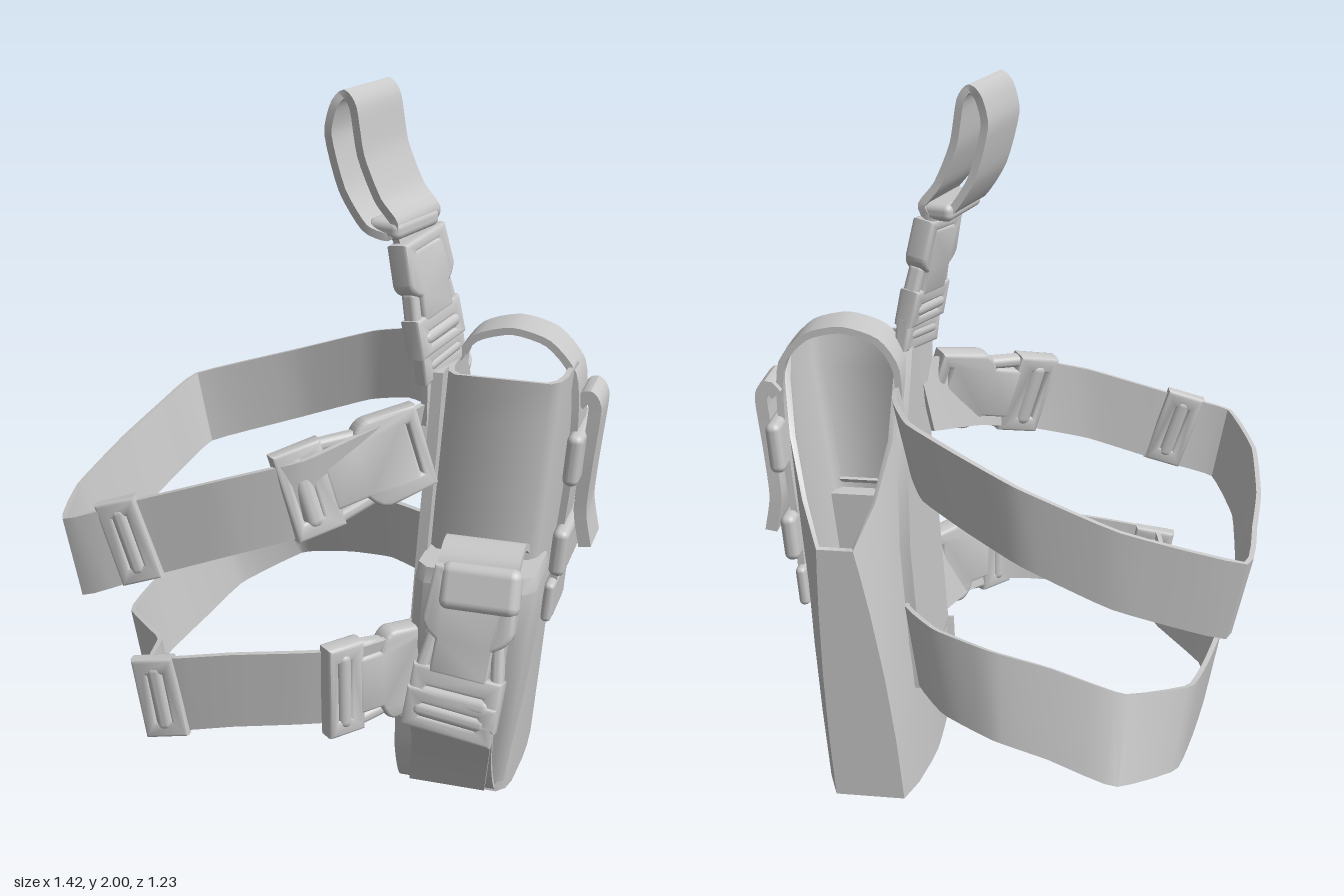
import * as THREE from 'three';
import { toCreasedNormals } from 'three/addons/utils/BufferGeometryUtils.js';
import { RoundedBoxGeometry } from 'three/addons/geometries/RoundedBoxGeometry.js';

const V = (x, y, z) => new THREE.Vector3(x, y, z);
const lerp = THREE.MathUtils.lerp;

export function createModel() {
  const model = new THREE.Group();
  const grey = new THREE.MeshStandardMaterial({ color: 0xc8c8c8, side: THREE.DoubleSide });
  grey.name = 'grey webbing';

  function add(name, geometry, parent = model) {
    const mesh = new THREE.Mesh(geometry, grey);
    mesh.name = name;
    parent.add(mesh);
    return mesh;
  }

  // Skin a list of closed rings, with both ends capped
  function loft(rings, crease = 0.6) {
    const n = rings[0].length, pos = [], idx = [];
    rings.forEach(r => r.forEach(p => pos.push(p.x, p.y, p.z)));
    for (let i = 0; i < rings.length - 1; i++) {
      for (let j = 0; j < n; j++) {
        const a = i * n + j, b = i * n + (j + 1) % n;
        idx.push(a, b, b + n, a, b + n, a + n);
      }
    }
    const last = (rings.length - 1) * n;
    for (let j = 1; j < n - 1; j++) {
      idx.push(0, j + 1, j, last, last + j, last + j + 1);
    }
    const g = new THREE.BufferGeometry();
    g.setAttribute('position', new THREE.Float32BufferAttribute(pos, 3));
    g.setIndex(idx);
    return toCreasedNormals(g, crease);
  }

  // Flat webbing along a curve; half(p) gives the half-width vector
  function webbing(name, pts, half, { thick = 0.014, steps = 36, closed = false, tension = 0.35 } = {}) {
    const curve = new THREE.CatmullRomCurve3(pts.map(p => V(...p)), closed, 'catmullrom', tension);
    const rings = [];
    for (let i = 0; i <= steps; i++) {
      const p = curve.getPoint(i / steps), w = half(p);
      const nrm = curve.getTangent(i / steps).cross(w).normalize().multiplyScalar(thick / 2);
      rings.push([[1, 1], [-1, 1], [-1, -1], [1, -1]].map(([s, t]) =>
        p.clone().addScaledVector(w, s).addScaledVector(nrm, t)));
    }
    return add(name, loft(rings));
  }

  // Group whose x axis runs from a to b, with y toward up
  function fitting(name, a, b, up) {
    const g = new THREE.Group(), x = V(...b).sub(V(...a)), len = x.length();
    x.normalize();
    const z = x.clone().cross(V(...up)).normalize(), y = z.clone().cross(x);
    g.quaternion.setFromRotationMatrix(new THREE.Matrix4().makeBasis(x, y, z));
    g.position.lerpVectors(V(...a), V(...b), 0.5);
    g.name = name;
    model.add(g);
    return [g, len];
  }

  function rect(x, y, w, h, Type = THREE.Shape) {
    return new Type([[-1, -1], [1, -1], [1, 1], [-1, 1]].map(([s, t]) =>
      new THREE.Vector2(x + s * w / 2, y + t * h / 2)));
  }
  function plate(shape, depth) {
    const g = new THREE.ExtrudeGeometry(shape, {
      depth, bevelEnabled: true, bevelSize: 0.01, bevelThickness: 0.012, bevelSegments: 2 });
    g.translate(0, 0, -depth / 2);
    return toCreasedNormals(g, 0.9);
  }

  // Rectangular slider: frame round a raised centre bar
  function slider(name, a, b, up, h) {
    const [g, len] = fitting(name, a, b, up);
    const s = rect(0, 0, len - 0.02, h);
    s.holes.push(rect(0, 0, len - 0.06, h - 0.06, THREE.Path));
    add('sliderFrame', plate(s, 0.02), g);
    add('sliderBar', new RoundedBoxGeometry(len * 0.4, h - 0.02, 0.05, 3, 0.02), g);
  }

  // Side-release buckle: slotted frame, curved prongs, waisted socket
  function buckle(name, a, b, up, h) {
    const [g, len] = fitting(name, a, b, up);
    const frame = rect(-len * 0.34, 0, len * 0.3, h);
    frame.holes.push(rect(-len * 0.37, 0, len * 0.18, h - 0.06, THREE.Path));
    add('buckleFrame', plate(frame, 0.035), g);
    add('buckleBar', new RoundedBoxGeometry(len * 0.14, h - 0.02, 0.07, 3, 0.025), g)
      .position.x = -len * 0.36;
    for (const s of [-1, 1]) {
      const prong = add('prong', new RoundedBoxGeometry(len * 0.3, 0.035, 0.045, 2, 0.015), g);
      prong.position.set(-len * 0.06, s * h * 0.42, 0);
      prong.rotation.z = -s * 0.15;
    }
    const socket = new THREE.Shape(), k = h / 2;
    socket.moveTo(-len * 0.18, -k * 0.6);
    socket.lineTo(len * 0.04, -k * 0.6);
    socket.quadraticCurveTo(len * 0.1, -k, len * 0.18, -k);
    socket.lineTo(len * 0.5, -k * 0.92);
    socket.lineTo(len * 0.5, k * 0.92);
    socket.lineTo(len * 0.18, k);
    socket.quadraticCurveTo(len * 0.1, k, len * 0.04, k * 0.6);
    socket.lineTo(-len * 0.18, k * 0.6);
    socket.holes.push(rect(len * 0.43, 0, len * 0.06, h - 0.07, THREE.Path));
    add('buckleSocket', plate(socket, 0.04), g);
  }

  // Holster shell: slanted sleeve, mouth cut down toward a narrow back
  const plan = [[-0.98, 0.13], [-0.92, 0.175], [-0.78, 0.2], [0.78, 0.2], [0.92, 0.175], [0.98, 0.13], [1, 0],
    [0.99, -0.07], [0.95, -0.15], [0.78, -0.28], [0.5, -0.4],
    [-0.75, -0.4], [-0.88, -0.28], [-0.96, -0.15], [-1, -0.07], [-1, 0]];
  const mouthStops = [[0, 1.25], [-0.07, 1.18], [-0.15, 1.04], [-0.28, 0.91], [-0.4, 0.82]];
  const mouth = z => mouthStops.find(([stop]) => z >= stop - 1e-6)[1];
  const shellRing = (t, inset) => plan.map(([u, z]) => {
    const back = Math.max(0, -z / 0.4);
    const y = lerp(0.04 * back * back, mouth(z), t), f = y / 1.25;
    const narrow = 1 - 0.5 * t * t * back * back;
    return V(lerp(0.365, 0.47, f) + u * narrow * (lerp(0.158, 0.165, f) - inset), y, z * (1 - inset * 3));
  });
  add('holsterShell', loft([
    ...[0, 0.25, 0.5, 0.75, 0.9, 1].map(t => shellRing(t, 0)),
    ...[1, 0.9].map(t => shellRing(t, 0.016)), shellRing(0.6, 0.03), shellRing(0.08, 0.04)], 0.9));

  // Backing panel against the leg
  const panelRing = (y, x, z0, z1) => [V(x - 0.015, y, z1), V(x + 0.015, y, z1),
    V(x + 0.015, y, z0), V(x - 0.015, y, z0)];
  add('backingPanel', loft([panelRing(0.3, 0.235, -0.22, 0.22), panelRing(0.75, 0.265, -0.22, 0.22),
    panelRing(1.05, 0.285, -0.12, 0.21), panelRing(1.25, 0.295, 0.04, 0.2)]));

  // Leg straps: sides lean outward at the top, the lower one inward at the back
  const legHalf = (h, kx, front, back) => p => V((p.x + 0.2) * kx, h, p.z * (p.z > 0 ? front : back));
  webbing('upperLegStrap', [[0.29, 1.06, 0.05], [0.275, 1.06, -0.15], [0.21, 1.055, -0.31], [0.06, 1.035, -0.45],
    [-0.1, 0.985, -0.53], [-0.35, 0.89, -0.555], [-0.655, 0.795, -0.5], [-0.675, 0.78, -0.25], [-0.685, 0.765, 0],
    [-0.67, 0.755, 0.34], [-0.595, 0.77, 0.595], [-0.42, 0.83, 0.56], [-0.18, 0.91, 0.525], [0, 0.96, 0.465],
    [0.15, 1.02, 0.32], [0.27, 1.06, 0.16]], legHalf(0.112, 0.05, 0.01, 0.005), { steps: 60, tension: 0.2 });
  webbing('lowerLegStrap', [[0.25, 0.46, -0.05], [0.24, 0.46, -0.25], [0.14, 0.46, -0.39], [-0.02, 0.455, -0.49],
    [-0.18, 0.435, -0.53], [-0.37, 0.39, -0.565], [-0.53, 0.34, -0.4], [-0.57, 0.32, -0.2], [-0.6, 0.31, 0.02],
    [-0.59, 0.31, 0.21], [-0.43, 0.34, 0.4], [-0.39, 0.36, 0.55], [-0.18, 0.4, 0.535], [0, 0.42, 0.505],
    [0.12, 0.43, 0.47], [0.2, 0.43, 0.37], [0.26, 0.43, 0.22]], legHalf(0.115, 0.05, 0.015, -0.08),
  { steps: 60, tension: 0.2 });
  buckle('upperLegBuckle', [-0.04, 0.96, 0.475], [0.26, 1.06, 0.235], [-0.25, 1, 0], 0.23);
  buckle('lowerLegBuckle', [0.085, 0.425, 0.51], [0.28, 0.43, 0.28], [0, 1, 0], 0.25);
  slider('upperLegSlider', [-0.5, 0.81, 0.575], [-0.39, 0.845, 0.56], [-0.18, 1, 0], 0.22);
  slider('lowerLegSlider', [-0.44, 0.35, 0.56], [-0.32, 0.37, 0.55], [-0.1, 1, 0], 0.22);

  // Hanger: stem, buckle and belt loop, all turned slightly about the vertical
  const turned = [-0.3, 0, 1];
  const across = h => () => V(...turned).multiplyScalar(h);
  webbing('hangerStem', [[0.285, 1.1, 0.13], [0.285, 1.25, 0.13], [0.265, 1.36, 0.14], [0.24, 1.5, 0.14],
    [0.2, 1.64, 0.15]], across(0.08), { steps: 12, thick: 0.02 });
  slider('hangerSlider', [0.285, 1.23, 0.12], [0.275, 1.32, 0.13], turned, 0.19);
  buckle('hangerBuckle', [0.275, 1.31, 0.135], [0.22, 1.6, 0.15], turned, 0.2);
  webbing('beltLoop', [[0.06, 1.955, 0.165], [0.085, 1.985, 0.16], [0.11, 1.95, 0.16], [0.13, 1.83, 0.16],
    [0.175, 1.72, 0.16], [0.22, 1.66, 0.16], [0.2, 1.625, 0.16], [0.14, 1.645, 0.16], [0.08, 1.74, 0.16],
    [0.045, 1.88, 0.165]], across(0.1), { closed: true, steps: 40, thick: 0.022 });
  const loopKeeper = add('loopKeeper', new RoundedBoxGeometry(0.1, 0.05, 0.21, 3, 0.02));
  loopKeeper.position.set(0.185, 1.64, 0.155);
  loopKeeper.rotation.y = -0.29;

  // Retention strap over the mouth and down the outer side
  const alongZ = h => () => V(0, 0, h);
  webbing('retentionStrap', [[0.3, 1.02, -0.01], [0.305, 1.22, -0.01], [0.36, 1.305, -0.01], [0.46, 1.335, -0.01],
    [0.56, 1.31, -0.01], [0.63, 1.23, -0.01], [0.64, 1.1, -0.01], [0.625, 0.9, -0.02], [0.605, 0.72, -0.03],
    [0.59, 0.5, -0.035]], alongZ(0.065), { thick: 0.02 });
  webbing('retentionTab', [[0.645, 1.14, -0.03], [0.67, 1.165, -0.03], [0.69, 1.13, -0.03], [0.675, 0.98, -0.03],
    [0.662, 0.83, -0.035], [0.68, 0.72, -0.035]], alongZ(0.065), { thick: 0.035, steps: 24 });
  for (const [y, x, w, h, d] of [[0.995, 0.645, 0.25, 0.15, 0.045], [0.715, 0.617, 0.24, 0.14, 0.045],
    [0.555, 0.59, 0.21, 0.12, 0.03]]) {
    const keeper = add('strapKeeper', new RoundedBoxGeometry(d, h, w, 3, d * 0.45));
    keeper.position.set(x, y, -0.025);
    keeper.rotation.z = -0.08;
  }

  // Front pouch, tapering to the holster foot
  const pouchRing = (y, cx, hw, z) => [V(cx - hw, y, 0.13), V(cx - hw, y, z - 0.03), V(cx - hw + 0.03, y, z),
    V(cx + hw - 0.03, y, z), V(cx + hw, y, z - 0.03), V(cx + hw, y, 0.13)];
  add('frontPouch', loft([pouchRing(0.02, 0.355, 0.15, 0.21), pouchRing(0.25, 0.385, 0.155, 0.28),
    pouchRing(0.5, 0.415, 0.16, 0.325), pouchRing(0.7, 0.435, 0.165, 0.335), pouchRing(0.74, 0.435, 0.16, 0.32)], 0.8));

  // Pouch closing strap with buckle, slider and flap
  const alongX = h => () => V(h, 0, 0);
  webbing('pouchStrap', [[0.45, 0.76, 0.18], [0.45, 0.8, 0.25], [0.45, 0.77, 0.32], [0.445, 0.66, 0.37],
    [0.43, 0.5, 0.42], [0.41, 0.36, 0.45], [0.4, 0.27, 0.39], [0.375, 0.15, 0.3], [0.35, 0.02, 0.22]],
  alongX(0.11), { thick: 0.02 });
  webbing('footStrap', [[0.355, 0.26, 0.29], [0.345, 0.13, 0.255], [0.345, 0.015, 0.2], [0.36, 0.008, 0.1]],
    alongX(0.14), { steps: 16 });
  buckle('pouchBuckle', [0.415, 0.37, 0.46], [0.455, 0.75, 0.35], [-1, 0, 0], 0.23);
  slider('pouchSlider', [0.405, 0.33, 0.475], [0.42, 0.44, 0.455], [-1, 0, 0], 0.23);
  const flap = add('pouchFlap', new RoundedBoxGeometry(0.22, 0.13, 0.06, 3, 0.028));
  flap.position.set(0.465, 0.72, 0.37);
  flap.rotation.x = -0.35;

  return model;
}
